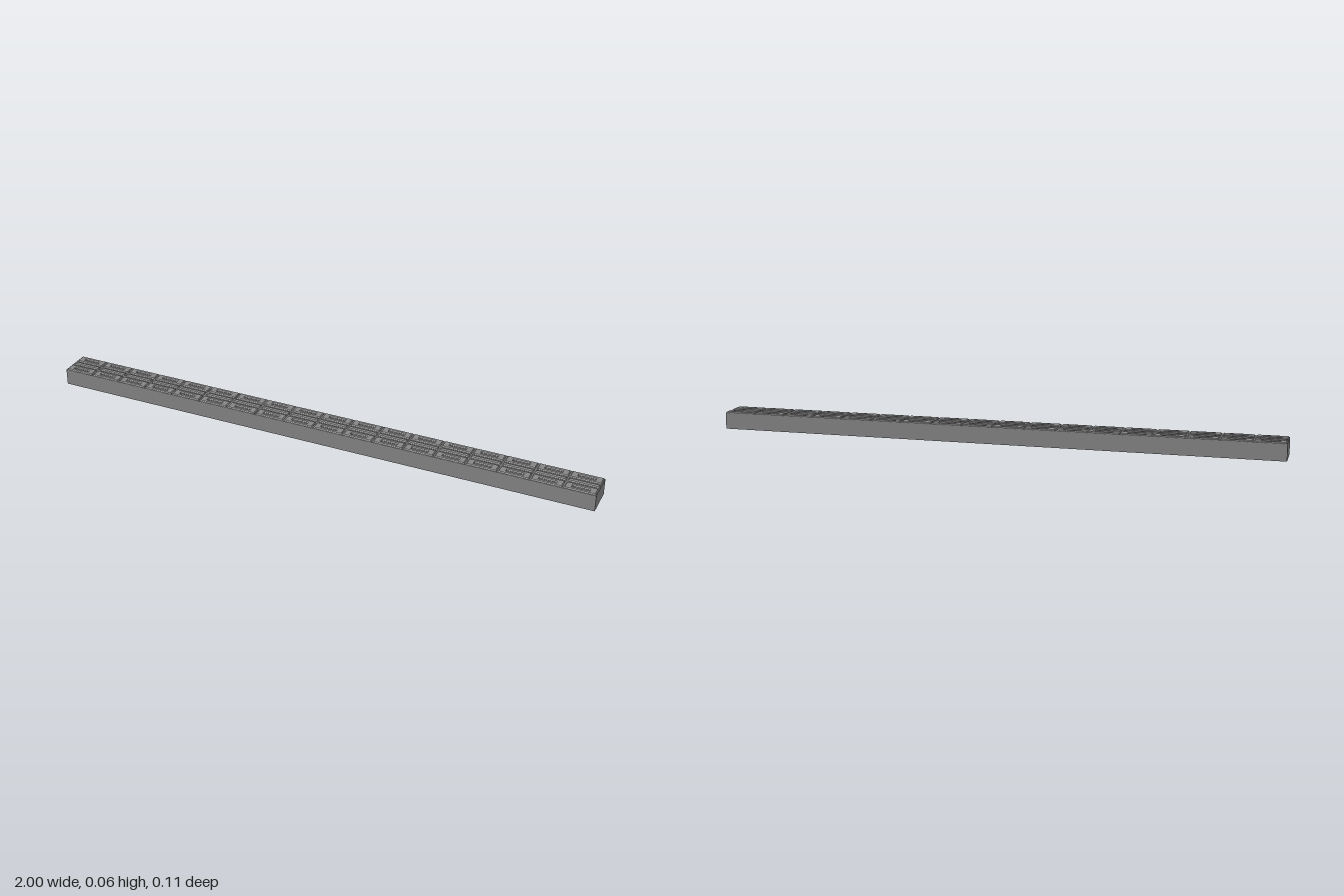
import * as THREE from 'three';

const LENGTH = 2, CELLS = 18, PITCH = LENGTH / CELLS;
const WIDTH = 0.11, DECK = 0.059, WALL = 0.003, PLATE = 0.005;

const material = new THREE.MeshStandardMaterial({ color: 0x868686, flatShading: true });

function box(parent, name, size, position) {
  const mesh = new THREE.Mesh(new THREE.BoxGeometry(...size), material);
  mesh.name = name;
  mesh.position.set(...position);
  parent.add(mesh);
}

function rectangle(path, w, h) {
  return path.moveTo(-w / 2, -h / 2).lineTo(w / 2, -h / 2).lineTo(w / 2, h / 2).lineTo(-w / 2, h / 2).closePath();
}

// Raised pad with chamfered edges and an optional long slot, laid flat on the deck
function padGeometry(w, h, slotW, slotH) {
  const bevel = 0.003;
  const shape = rectangle(new THREE.Shape(), w - 2 * bevel, h - 2 * bevel);
  if (slotW) shape.holes.push(rectangle(new THREE.Path(), slotW + 2 * bevel, slotH + 2 * bevel));
  const geometry = new THREE.ExtrudeGeometry(shape, {
    depth: 0.003, bevelThickness: bevel, bevelSize: bevel, bevelSegments: 1,
  });
  return geometry.rotateX(-Math.PI / 2).translate(0, 0.057, 0);
}

export function createModel() {
  const model = new THREE.Group();
  model.name = 'drainChannel';
  const sidePad = padGeometry(PITCH - 0.005, 0.038, 0.056, 0.008);
  const centrePad = padGeometry(PITCH - 0.005, 0.018);

  // Deck and long walls, open underneath
  const wallHeight = DECK - PLATE;
  box(model, 'deck', [LENGTH, PLATE, WIDTH], [0, DECK - PLATE / 2, 0]);
  for (const side of [-1, 1]) {
    box(model, 'sideWall', [LENGTH, wallHeight, WALL], [0, wallHeight / 2, side * (WIDTH - WALL) / 2]);
  }

  // End walls and cross ribs between the cells
  for (let i = 0; i <= CELLS; i++) {
    const inset = i === 0 ? WALL / 2 : i === CELLS ? -WALL / 2 : 0;
    const name = inset ? 'endWall' : 'crossRib';
    box(model, name, [WALL, wallHeight, WIDTH - 2 * WALL], [-LENGTH / 2 + i * PITCH + inset, wallHeight / 2, 0]);
  }

  // Two rows of slotted pads with a narrow ridge between the grooves
  for (let i = 0; i < CELLS; i++) {
    const x = -LENGTH / 2 + (i + 0.5) * PITCH;
    for (const [name, geometry, z] of [
      ['slottedPad', sidePad, -0.0348], ['centreRidge', centrePad, 0], ['slottedPad', sidePad, 0.0348],
    ]) {
      const pad = new THREE.Mesh(geometry, material);
      pad.name = name;
      pad.position.set(x, 0, z);
      model.add(pad);
    }
  }
  return model;
}
